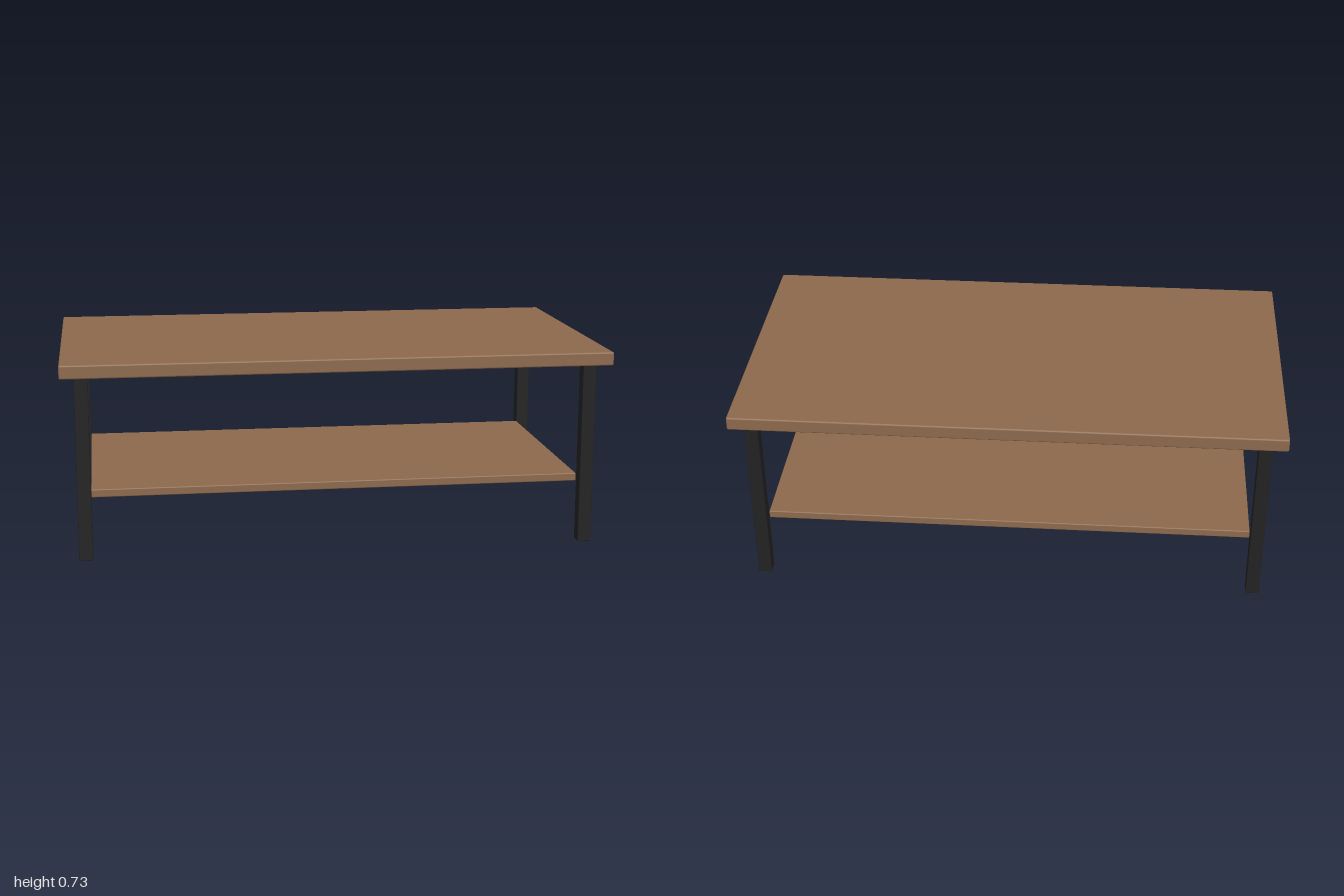
import * as THREE from 'three';
import { RoundedBoxGeometry } from 'three/addons/geometries/RoundedBoxGeometry.js';

export function createModel() {
  const table = new THREE.Group();
  table.name = 'coffeeTable';

  const wood = new THREE.MeshStandardMaterial({ color: 0x8c694c });
  wood.name = 'brown wood';
  const metal = new THREE.MeshStandardMaterial({ color: 0x222222 });
  metal.name = 'black metal';

  // Softly bevelled block standing on height y
  function addBlock(name, material, [w, h, d], [x, y, z], bevel) {
    const mesh = new THREE.Mesh(new RoundedBoxGeometry(w, h, d, 2, bevel), material);
    mesh.name = name;
    mesh.position.set(x, y + h / 2, z);
    table.add(mesh);
  }

  // Top and lower shelf
  addBlock('tableTop', wood, [2, 0.05, 1.09], [0, 0.675, 0], 0.006);
  addBlock('lowerShelf', wood, [1.8, 0.03, 0.9], [0, 0.221, 0], 0.004);

  // Four square legs, outside the corners of the shelf
  for (const [side, x] of [['Left', 0.925], ['Right', -0.925]]) {
    for (const [end, z] of [['front', 0.475], ['back', -0.475]]) {
      addBlock(`${end}${side}Leg`, metal, [0.05, 0.677, 0.05], [x, 0, z], 0.003);
    }
  }

  return table;
}
